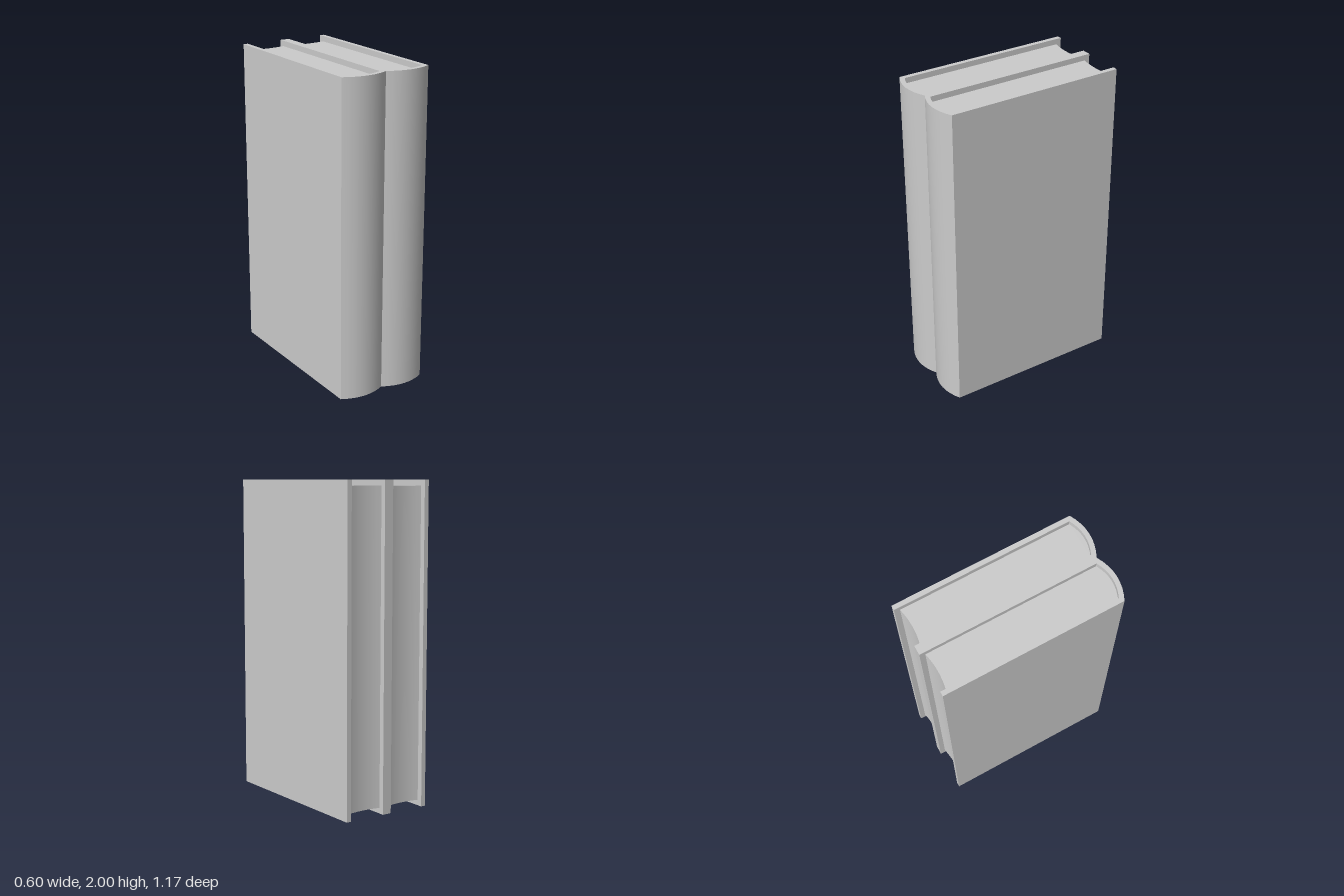
import * as THREE from 'three';
import { toCreasedNormals } from 'three/addons/utils/BufferGeometryUtils.js';

const HEIGHT = 2, HALF_W = 0.15, BOARD = 0.03, BACK = -0.586;
const OVERHANG = 0.035; // covers stand proud of the pages at top and bottom

// Shallow arc from x = from to x = to, as points in the ground plane (x, z)
function arc(from, to, zSide, bulge, steps = 8) {
  return Array.from({ length: steps + 1 }, (_, i) => {
    const t = i / steps, u = 2 * t - 1;
    return new THREE.Vector2(from + (to - from) * t, zSide + bulge * (1 - u * u));
  });
}

// Upright prism over a ground-plane outline
function prism(points, bottom, top) {
  const geo = new THREE.ExtrudeGeometry(new THREE.Shape(points), { depth: top - bottom, bevelEnabled: false });
  geo.rotateX(Math.PI / 2).translate(0, top, 0);
  return toCreasedNormals(geo, Math.PI / 9);
}

export function createModel() {
  const grey = new THREE.MeshStandardMaterial({ color: 0xcccccc });
  grey.name = 'plain grey';
  const inner = HALF_W - BOARD;

  // U-shaped cover: two boards joined by a rounded spine
  const coverGeo = prism([
    new THREE.Vector2(HALF_W, BACK),
    ...arc(HALF_W, -HALF_W, 0.546, 0.04),
    new THREE.Vector2(-HALF_W, BACK),
    new THREE.Vector2(-inner, BACK),
    ...arc(-inner, inner, 0.527, 0.03),
    new THREE.Vector2(inner, BACK),
  ], 0, HEIGHT);

  // Page block: rounded against the spine, hollow at the fore edge
  const pagesGeo = prism([
    ...arc(inner, -inner, 0.527, 0.03),
    ...arc(-inner, inner, -0.552, 0.014),
  ], OVERHANG, HEIGHT - OVERHANG);

  const model = new THREE.Group();
  model.name = 'twoBooks';
  for (const side of [-1, 1]) {
    const book = new THREE.Group();
    book.name = side < 0 ? 'rightBook' : 'leftBook';
    const cover = new THREE.Mesh(coverGeo, grey);
    cover.name = 'cover';
    const pages = new THREE.Mesh(pagesGeo, grey);
    pages.name = 'pages';
    book.add(cover, pages);
    book.position.x = side * HALF_W;
    model.add(book);
  }
  return model;
}
